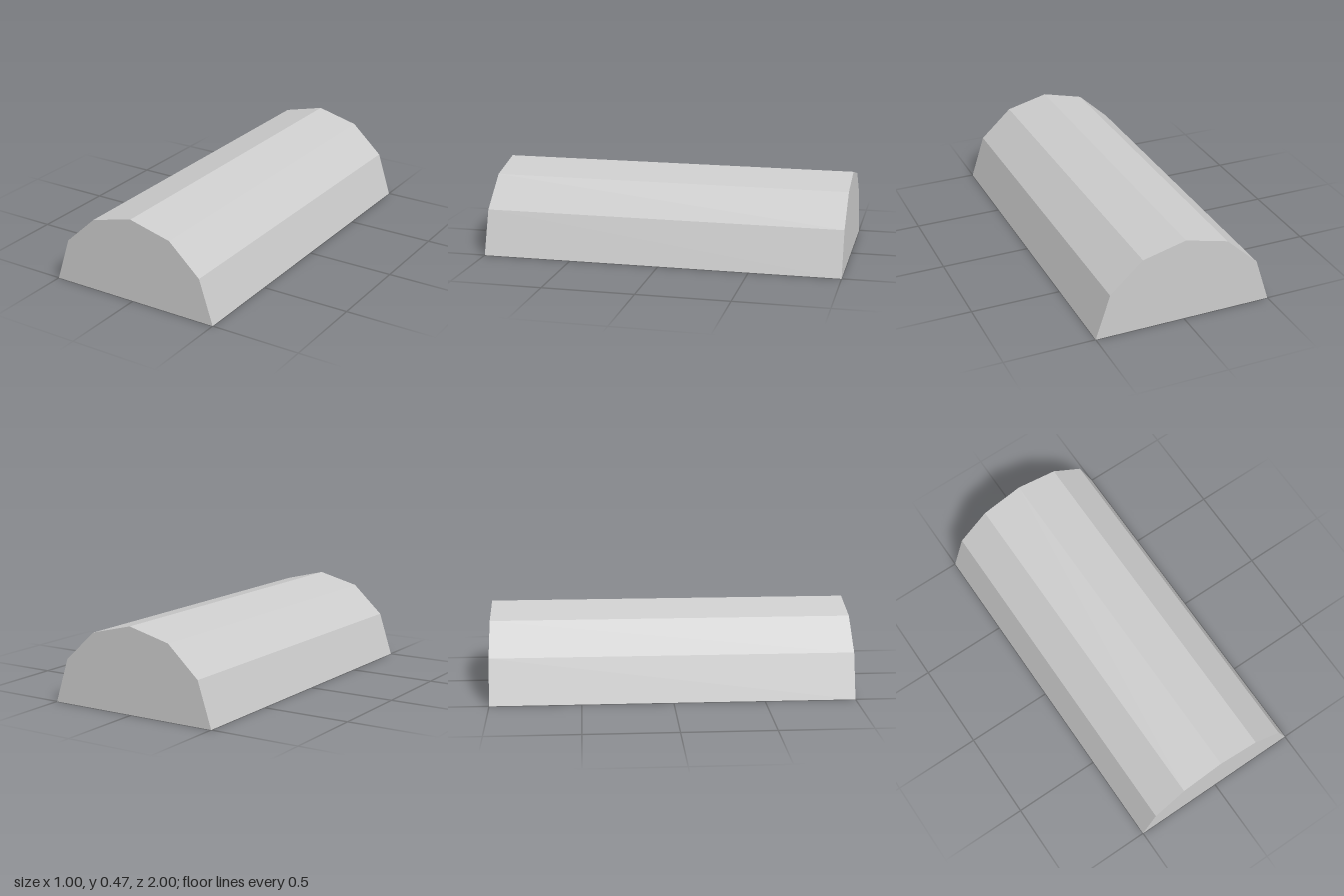
import * as THREE from 'three';

const material = new THREE.MeshStandardMaterial({ color: 0xcccccc, flatShading: true, side: THREE.DoubleSide });

// Arched cross-section, from x = -0.5 over the crown to x = 0.5
const half = [[0.5, 0], [0.42, 0.245], [0.24, 0.41]];
const outer = [...half.map(([x, y]) => [-x, y]), [0, 0.47], ...half.slice().reverse()];
const inner = outer.map(([x, y]) => [x * 0.67, y * 0.67]);
const END = 1;
const SLOTS = [[-2 / 3, -1 / 3], [-1 / 6, 1 / 6], [1 / 3, 2 / 3]];

function quadMesh(name, quads) {
  const pos = [];
  for (const [a, b, c, d] of quads) pos.push(...a, ...b, ...c, ...a, ...c, ...d);
  const geometry = new THREE.BufferGeometry();
  geometry.setAttribute('position', new THREE.Float32BufferAttribute(pos, 3));
  geometry.computeVertexNormals();
  return named(name, geometry);
}

function named(name, geometry) {
  const mesh = new THREE.Mesh(geometry, material);
  mesh.name = name;
  return mesh;
}

// Lengthwise strip between two section points; faces up when p is left of q
const strip = (p, q, z0, z1) => [[...p, z1], [...q, z1], [...q, z0], [...p, z0]];

// Crosswise wall between the lining and the shell, facing +z
const cross = (i, z) => [[...inner[i], z], [...inner[i + 1], z], [...outer[i + 1], z], [...outer[i], z]];

const rectangle = (PathType, w, d) =>
  new PathType([[-w, -d], [w, -d], [w, d], [-w, d]].map(([x, y]) => new THREE.Vector2(x, y)));

export function createModel() {
  const model = new THREE.Group();
  model.name = 'archedCover';

  // Faceted outer roof
  const roof = [];
  for (let i = 0; i < 6; i++) roof.push(strip(outer[i], outer[i + 1], -END, END));
  model.add(quadMesh('outerRoof', roof));

  // Flat ends
  const endShape = new THREE.Shape(outer.map(([x, y]) => new THREE.Vector2(x, y)));
  for (const side of [1, -1]) {
    const end = named(side > 0 ? 'frontEnd' : 'backEnd', new THREE.ShapeGeometry(endShape));
    if (side < 0) end.rotation.y = Math.PI;
    end.position.z = side * END;
    model.add(end);
  }

  // Base rim with a rectangular opening
  const rim = rectangle(THREE.Shape, 0.5, END);
  rim.holes.push(rectangle(THREE.Path, 0.335, 0.835));
  model.add(named('baseRim', new THREE.ShapeGeometry(rim).rotateX(Math.PI / 2)));

  // Inner vault, with the shoulder facets interrupted by slots
  const vault = [];
  const slotWalls = [];
  for (let i = 0; i < 6; i++) {
    const p = inner[i], q = inner[i + 1];
    if (i !== 1 && i !== 4) {
      vault.push(strip(q, p, -END, END));
      continue;
    }
    let start = -END;
    for (const [z0, z1] of SLOTS) {
      vault.push(strip(q, p, start, z0));
      start = z1;
      // Four sides of the slot, reaching out to the roof
      slotWalls.push(cross(i, z0), cross(i, z1).reverse());
      slotWalls.push(strip(p, outer[i], z0, z1), strip(outer[i + 1], q, z0, z1));
    }
    vault.push(strip(q, p, start, END));
  }
  model.add(quadMesh('innerVault', vault), quadMesh('slotWalls', slotWalls));

  return model;
}
